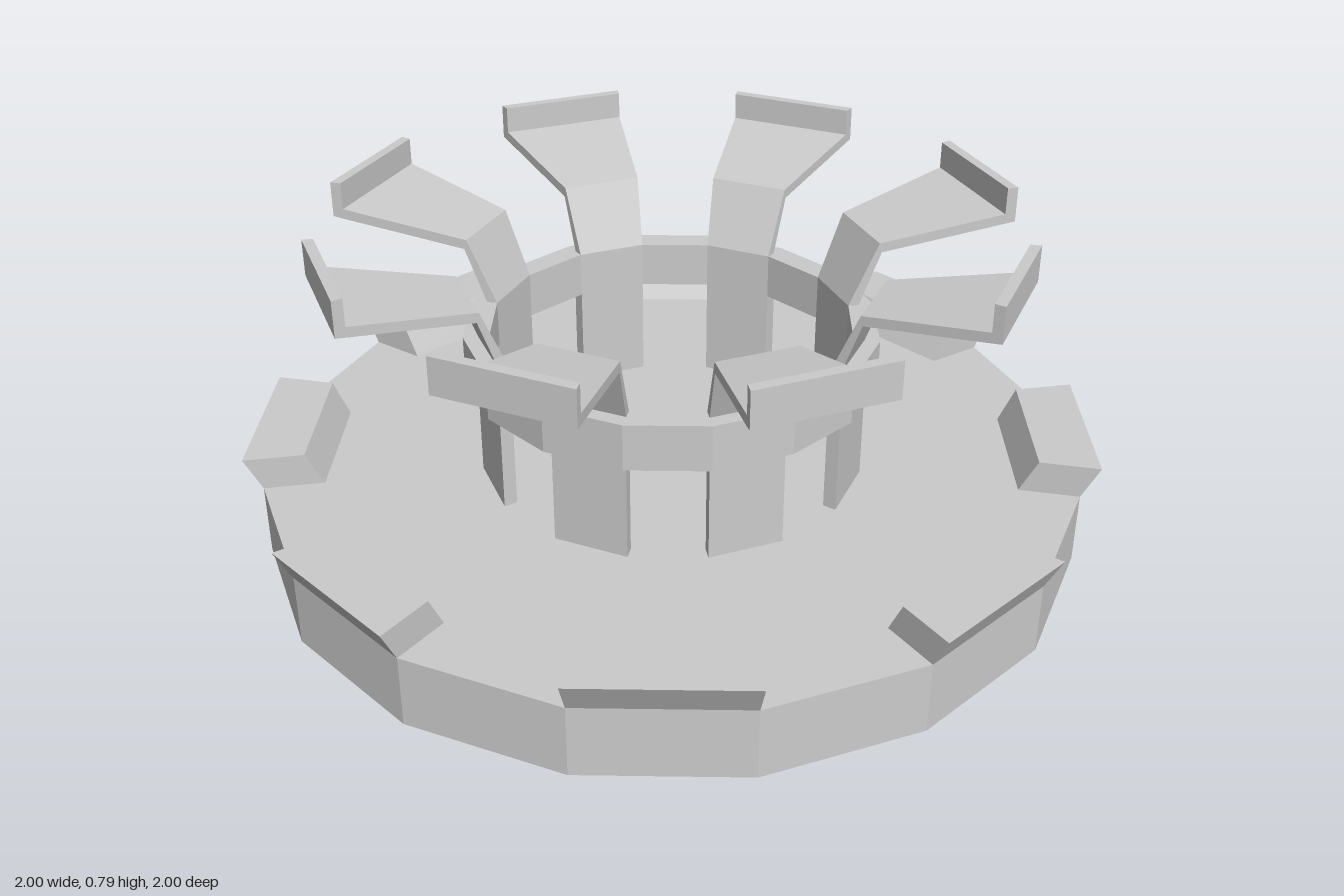
import * as THREE from 'three';

const SIDES = 16;
const STEP = (Math.PI * 2) / SIDES;

const solid = new THREE.MeshStandardMaterial({ color: 0xcccccc, flatShading: true });
const shell = new THREE.MeshStandardMaterial({ color: 0xcccccc, flatShading: true, side: THREE.DoubleSide });

// Sweeps a counter-clockwise [radius, y] profile round the y axis in straight steps.
function sweep(profile, first, count, { closed = true, caps = true } = {}) {
  const out = [];
  const at = ([r, y], k) => [r * Math.sin(k * STEP), y, r * Math.cos(k * STEP)];
  const tri = (a, b, c) => out.push(...a, ...b, ...c);
  const n = profile.length;
  for (let k = first; k < first + count; k++) {
    for (let i = 0; i < (closed ? n : n - 1); i++) {
      const p = profile[i];
      const q = profile[(i + 1) % n];
      if (p[0] > 0) tri(at(p, k), at(p, k + 1), at(q, k + 1));
      if (q[0] > 0) tri(at(p, k), at(q, k + 1), at(q, k));
    }
  }
  if (caps) {
    const outline = profile.map(([r, y]) => new THREE.Vector2(r, y));
    for (const [a, b, c] of THREE.ShapeUtils.triangulateShape(outline, [])) {
      const [p, q, s] = [profile[a], profile[b], profile[c]];
      tri(at(p, first), at(q, first), at(s, first));
      tri(at(p, first + count), at(s, first + count), at(q, first + count));
    }
  }
  const geometry = new THREE.BufferGeometry();
  geometry.setAttribute('position', new THREE.Float32BufferAttribute(out, 3));
  geometry.computeVertexNormals();
  return geometry;
}

function add(parent, name, geometry, material) {
  const mesh = new THREE.Mesh(geometry, material);
  mesh.name = name;
  parent.add(mesh);
}

// Profiles as [radius, y]
const skirt = [[0.96, 0], [0.96, 0.17]];
const plateFull = [[0.96, 0.17], [0, 0.17]];
const plateCut = [[0.82, 0.17], [0, 0.17]];
const rimBlock = [[0.96, 0.17], [1.0, 0.25], [0.86, 0.25], [0.82, 0.17]];
const post = [[0.42, 0.17], [0.452, 0.17], [0.452, 0.41], [0.42, 0.41]];
const ring = [[0.42, 0.41], [0.48, 0.41], [0.48, 0.52], [0.42, 0.52]];
const petal = [
  [0.42, 0.52], [0.445, 0.52], [0.493, 0.652], [0.81, 0.705],
  [0.81, 0.79], [0.785, 0.79], [0.785, 0.725], [0.487, 0.675],
];

export function createModel() {
  const model = new THREE.Group();
  model.name = 'flowerStand';

  // Hollow base, open underneath
  const base = new THREE.Group();
  base.name = 'base';
  model.add(base);
  add(base, 'baseSkirt', sweep(skirt, 0, SIDES, { closed: false, caps: false }), shell);

  // Collar that ties the posts together
  add(model, 'collarRing', sweep(ring, 0, SIDES, { caps: false }), solid);

  // Posts and petals on even sectors, leaning hollow blocks on odd ones
  for (let k = 0; k < SIDES; k += 2) {
    add(base, 'basePlate', sweep(plateFull, k, 1, { closed: false, caps: false }), shell);
    add(base, 'basePlate', sweep(plateCut, k + 1, 1, { closed: false, caps: false }), shell);
    add(base, 'rimBlock', sweep(rimBlock, k + 1, 1, { closed: false }), shell);
    add(model, 'post', sweep(post, k, 1), solid);
    add(model, 'petal', sweep(petal, k, 1), solid);
  }
  return model;
}
